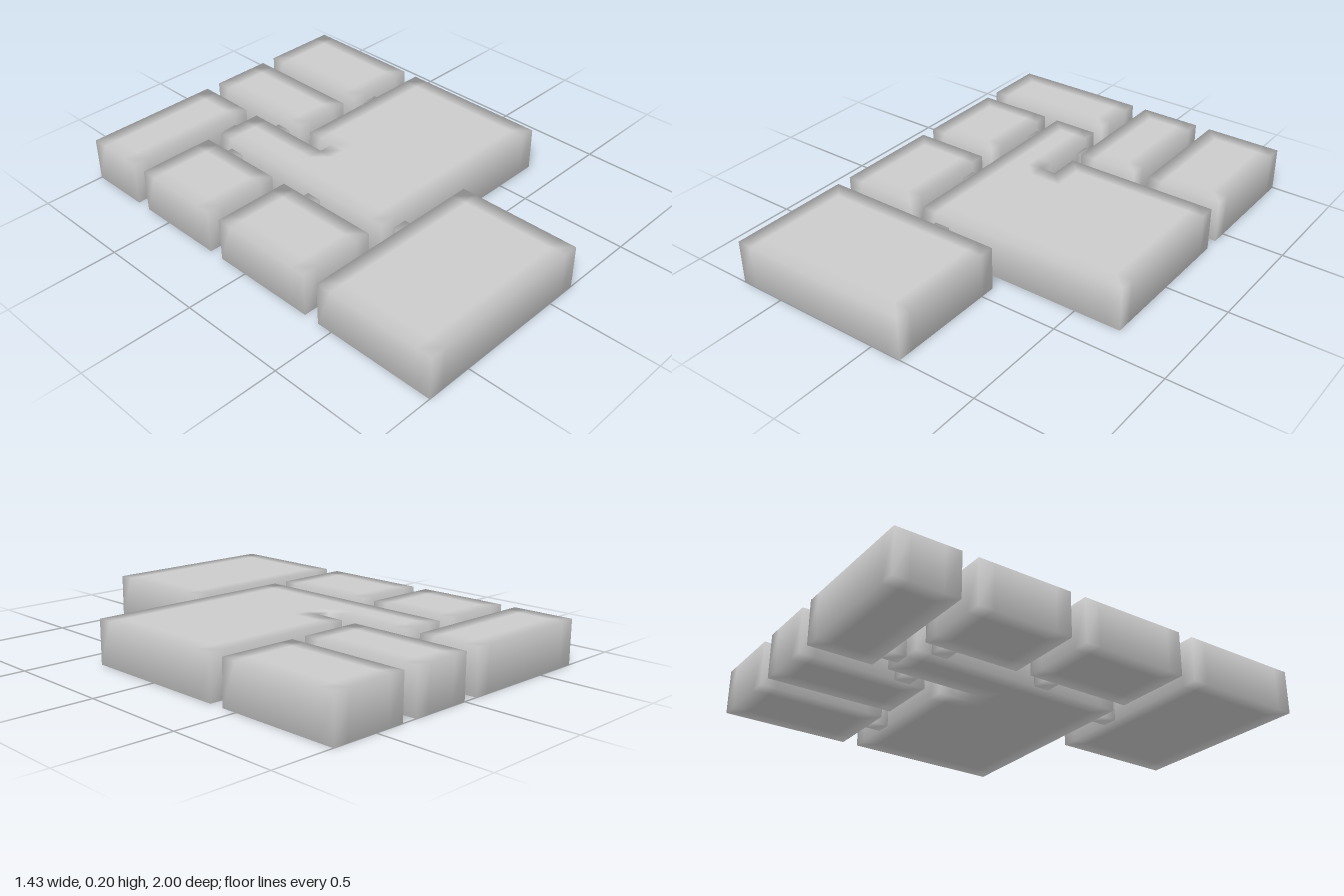
import * as THREE from 'three';
import { mergeVertices } from 'three/addons/utils/BufferGeometryUtils.js';

const CELL = 1 / 14; // floor-plan grid step

// Solid block over the union of cell rectangles [x0, x1, z0, z1], with soft normals at its edges
function blockGeometry(rects, height) {
  const cells = new Set();
  for (const [x0, x1, z0, z1] of rects)
    for (let x = x0; x < x1; x++)
      for (let z = z0; z < z1; z++) cells.add(`${x},${z}`);

  const pos = [];
  const quad = (a, b, c, d) => pos.push(...a, ...b, ...c, ...a, ...c, ...d);
  for (const key of cells) {
    const [x, z] = key.split(',').map(Number);
    // Corners counter-clockwise from above, and the neighbour across each edge
    const ring = [[x, z], [x, z + 1], [x + 1, z + 1], [x + 1, z]];
    const next = [[x - 1, z], [x, z + 1], [x + 1, z], [x, z - 1]];
    const top = ring.map(([i, j]) => [i * CELL, height, j * CELL]);
    const low = ring.map(([i, j]) => [i * CELL, 0, j * CELL]);
    quad(...top);
    quad(low[3], low[2], low[1], low[0]);
    for (let e = 0; e < 4; e++) {
      const f = (e + 1) % 4;
      if (!cells.has(next[e].join(','))) quad(low[e], low[f], top[f], top[e]);
    }
  }
  const raw = new THREE.BufferGeometry();
  raw.setAttribute('position', new THREE.Float32BufferAttribute(pos, 3));
  const geometry = mergeVertices(raw, 1e-4);
  geometry.computeVertexNormals();
  return geometry;
}

export function createModel() {
  const model = new THREE.Group();
  model.name = 'floorPlan';
  const material = new THREE.MeshStandardMaterial({ color: 0xcccccc });

  const add = (name, rects, height) => {
    const mesh = new THREE.Mesh(blockGeometry(rects, height), material);
    mesh.name = name;
    model.add(mesh);
  };

  // Rooms
  const rooms = {
    mainHall: [[-4, -1, -9, 5], [-1, 0, -3, 5], [0, 10, -5, 5]],
    frontRoom: [[-10, 2, 6, 14]],
    sideRoomFront: [[-10, -5, -2, 5]],
    sideRoomBack: [[-10, -5, -9, -3]],
    backRoom: [[-10, -1, -14, -10]],
    backRoomMiddle: [[0, 4, -14, -6]],
    backRoomLeft: [[5, 10, -14, -6]],
  };
  for (const [name, rects] of Object.entries(rooms)) add(name, rects, 0.2);

  // Lower doorways bridging the gaps between rooms
  const doors = {
    frontDoorway: [-3, -2, 5, 6],
    sideDoorwayFront: [-5, -4, -1, 0],
    sideDoorwayBack: [-5, -4, -8, -7],
    backDoorway: [-3, -2, -10, -9],
    backDoorwayMiddle: [-1, 0, -8, -7],
    backDoorwayLeft: [6, 7, -6, -5],
  };
  for (const [name, rect] of Object.entries(doors)) add(name, [rect], 0.15);

  return model;
}
